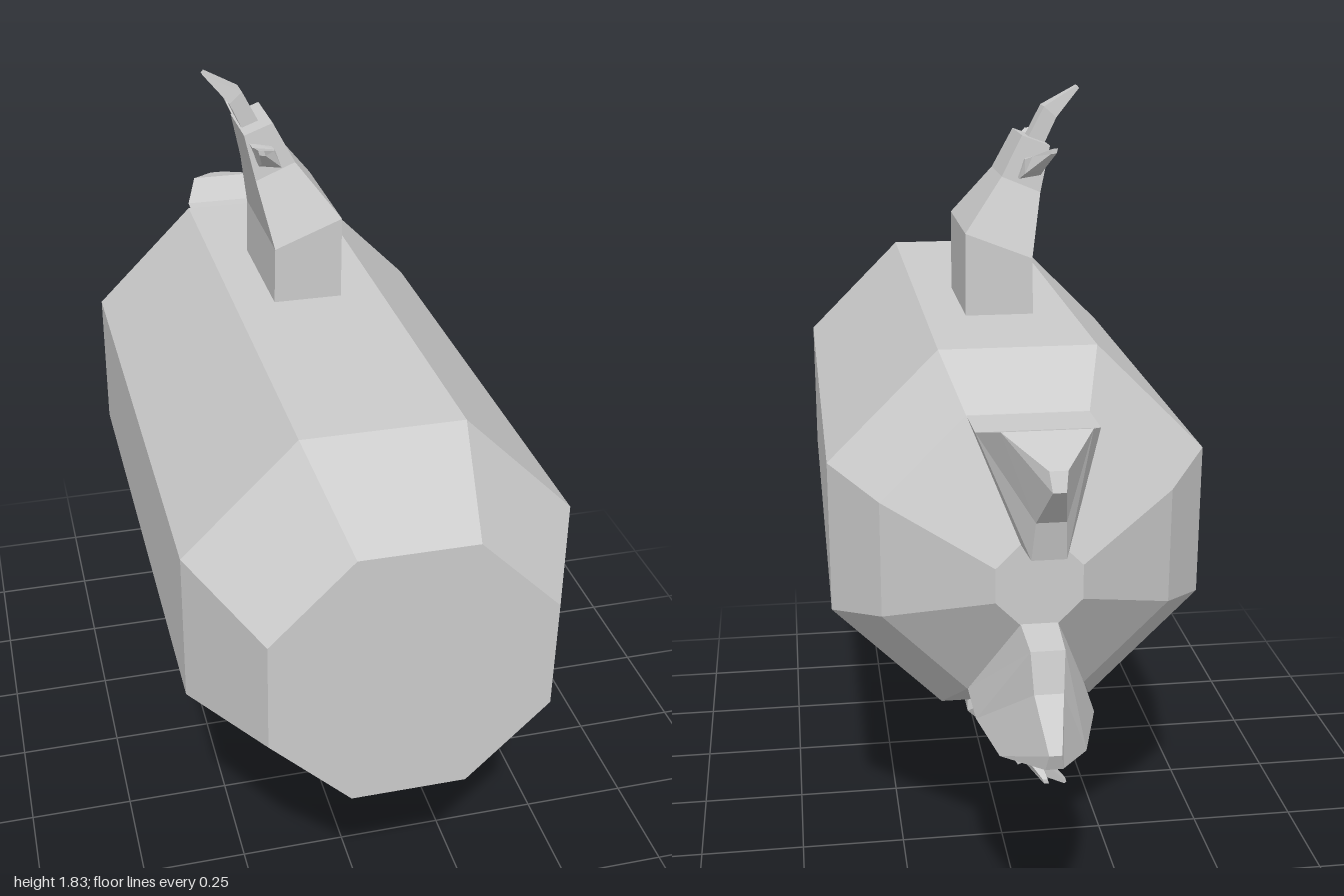
import * as THREE from 'three';

const MID = 0.918; // height of the hull axis
const ARM_Z = -0.0225; // centre plane of the arms

// Closed faceted solid through a list of rings with equal point counts.
function loft(name, rings, material) {
  const n = rings[0].length;
  const tris = [];
  for (let r = 0; r < rings.length - 1; r++) {
    for (let i = 0; i < n; i++) {
      const j = (i + 1) % n;
      const a = rings[r][i], b = rings[r][j], c = rings[r + 1][j], d = rings[r + 1][i];
      tris.push([a, b, c], [a, c, d]);
    }
  }
  const first = rings[0], last = rings[rings.length - 1];
  for (let i = 1; i < n - 1; i++) {
    tris.push([first[0], first[i + 1], first[i]], [last[0], last[i], last[i + 1]]);
  }
  // Turn the faces outward whichever way the rings run
  const o = first[0];
  let volume = 0;
  for (const t of tris) {
    const [a, b, c] = t.map((p) => new THREE.Vector3(p[0] - o[0], p[1] - o[1], p[2] - o[2]));
    volume += a.dot(b.cross(c));
  }
  if (volume < 0) tris.forEach((t) => t.reverse());
  const geometry = new THREE.BufferGeometry();
  geometry.setAttribute('position', new THREE.Float32BufferAttribute(tris.flat(2), 3));
  geometry.computeVertexNormals();
  const mesh = new THREE.Mesh(geometry, material);
  mesh.name = name;
  return mesh;
}

// Regular octagon with flat sides up, down, left and right
function octagon(z, apothem) {
  const radius = apothem / Math.cos(Math.PI / 8);
  return Array.from({ length: 8 }, (_, i) => {
    const a = ((i + 0.5) * Math.PI) / 4;
    return [radius * Math.cos(a), MID + radius * Math.sin(a), z];
  });
}

// Four corners from two points of the x-y outline, spread in z
function armRing([x1, y1], [x2, y2], half) {
  return [
    [x1, y1, ARM_Z - half], [x2, y2, ARM_Z - half],
    [x2, y2, ARM_Z + half], [x1, y1, ARM_Z + half],
  ];
}

// Four corners from an outer and an inner edge of the tail fin, spread in x
function finRing([zo, yo, wo], [zi, yi, wi]) {
  return [[-wo, yo, zo], [wo, yo, zo], [wi, yi, zi], [-wi, yi, zi]];
}

// Slanted square section of a side claw
function clawRing(x, y, offset, u, v, side) {
  return [[-u, u * 0.8], [v, v], [u, -u * 0.8], [-v, -v]]
    .map(([dx, dy]) => [x + dx, y + dy, ARM_Z + side * offset]);
}

export function createModel() {
  const model = new THREE.Group();
  model.name = 'model';
  const grey = new THREE.MeshStandardMaterial({ color: 0xcccccc, flatShading: true });

  // Octagonal hull
  const hull = [[1, 0.293], [0.745, 0.413], [-0.475, 0.413], [-0.62, 0.311], [-0.787, 0.09]];
  model.add(loft('hull', hull.map(([z, a]) => octagon(z, a)), grey));

  // Upper parts, repeated below the hull axis
  for (const [label, flip] of [['upper', false], ['lower', true]]) {
    const place = (rings) => (flip
      ? rings.map((ring) => ring.map(([x, y, z]) => [x, 2 * MID - y, z])) : rings);
    const add = (group, name, rings) => group.add(loft(name, place(rings), grey));

    const arm = new THREE.Group();
    arm.name = label + 'Arm';
    add(arm, 'armBase', [
      armRing([-0.08, 1.3], [0.077, 1.3], 0.153),
      armRing([-0.077, 1.46], [0.077, 1.52], 0.153),
      armRing([-0.105, 1.6], [-0.015, 1.637], 0.085),
      armRing([-0.128, 1.704], [-0.063, 1.728], 0.075),
    ]);
    add(arm, 'middleClaw', [
      armRing([-0.116, 1.69], [-0.078, 1.705], 0.027),
      armRing([-0.15, 1.762], [-0.121, 1.787], 0.027),
      armRing([-0.205, 1.826], [-0.2, 1.832], 0.011),
    ]);
    for (const side of [-1, 1]) {
      add(arm, 'sideClaw', [
        clawRing(-0.085, 1.66, 0.06, 0.032, 0.016, side),
        clawRing(-0.084, 1.66, 0.105, 0.032, 0.018, side),
        clawRing(-0.09, 1.675, 0.145, 0.03, 0.014, side),
        clawRing(-0.116, 1.708, 0.203, 0.008, 0.005, side),
      ]);
    }
    model.add(arm);

    // Tail fin, broad outside and narrow inside
    add(model, label + 'TailFin', [
      finRing([-0.62, 1.228, 0.128], [-0.74, 1.0, 0.04]),
      finRing([-0.75, 1.233, 0.126], [-0.895, 1.015, 0.035]),
      finRing([-0.855, 1.265, 0.09], [-0.915, 1.1, 0.03]),
      finRing([-0.985, 1.228, 0.018], [-1, 1.19, 0.013]),
    ]);
  }
  return model;
}
